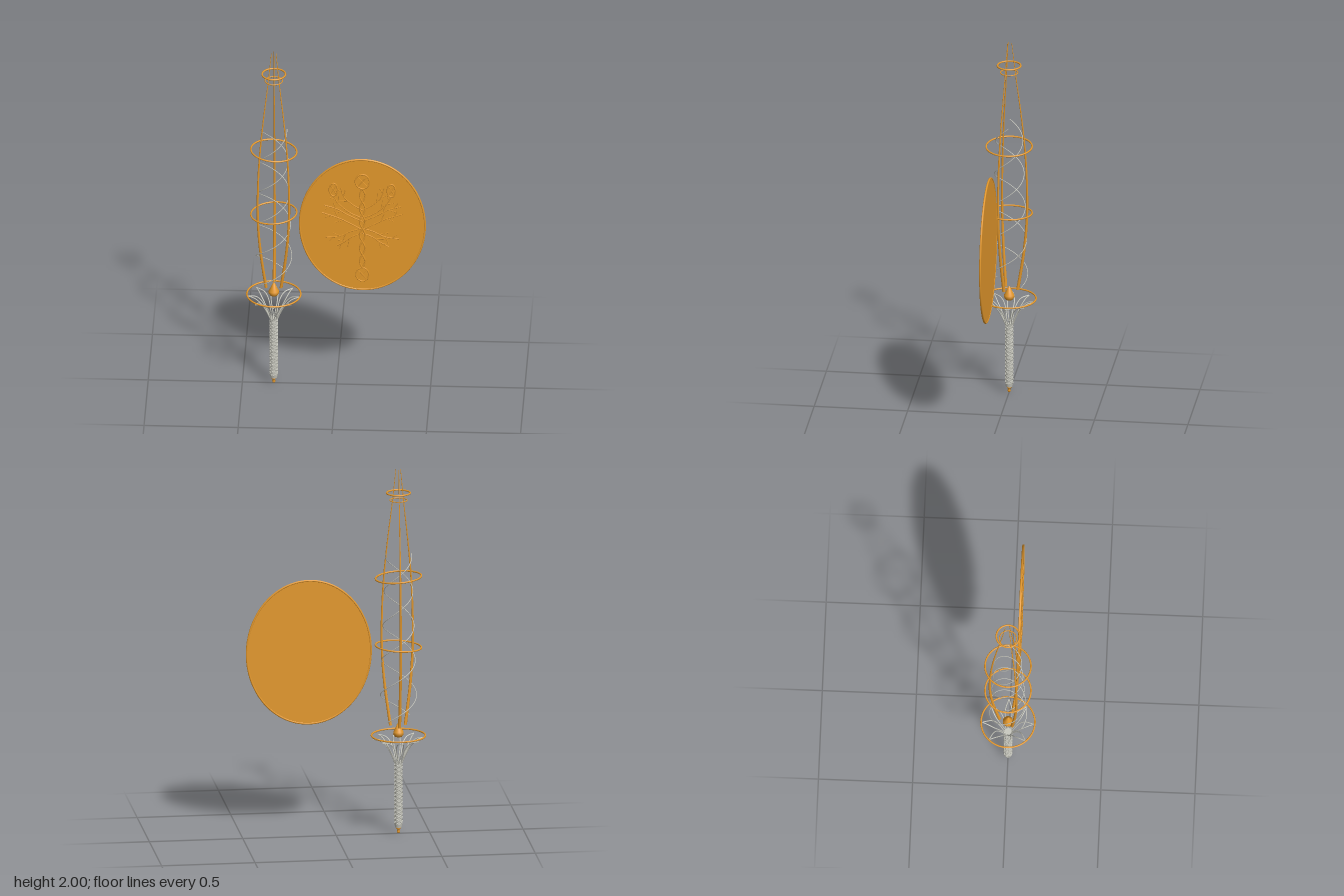
import * as THREE from 'three';

const V = (x, y, z = 0) => new THREE.Vector3(x, y, z);
const mat = (name, color) => {
  const m = new THREE.MeshStandardMaterial({ color });
  m.name = name;
  return m;
};

export function createModel() {
  const gold = mat('gold', 0xe5992c);
  const steel = mat('silver', 0xc8c8be);
  const model = new THREE.Group();
  const wand = new THREE.Group();
  wand.name = 'wand';
  wand.position.x = -0.333;
  model.add(wand);

  const add = (parent, name, geometry, material) => {
    const mesh = new THREE.Mesh(geometry, material);
    mesh.name = name;
    parent.add(mesh);
    return mesh;
  };
  const tube = (parent, name, pts, r, material, closed = false, segs = 32, sides = 6) =>
    add(parent, name, new THREE.TubeGeometry(new THREE.CatmullRomCurve3(pts, closed), segs, r, sides, closed), material);
  const lathe = (parent, name, profile, sides, material) =>
    add(parent, name, new THREE.LatheGeometry(profile.map(p => new THREE.Vector2(...p)), sides), material);
  const helix = (y0, y1, radius, angle, n) => Array.from({ length: n + 1 }, (_, i) => {
    const t = i / n, a = angle(t), r = radius(t);
    return V(r * Math.cos(a), y0 + (y1 - y0) * t, r * Math.sin(a));
  });

  // Pommel and grip
  lathe(wand, 'pommel', [[0, 0], [0.007, 0.004], [0.009, 0.011], [0.005, 0.02], [0.012, 0.026], [0.014, 0.034], [0, 0.036]], 16, gold);
  add(wand, 'gripCollar', new THREE.CylinderGeometry(0.022, 0.018, 0.02, 20), steel).position.y = 0.044;
  add(wand, 'gripCore', new THREE.CylinderGeometry(0.0195, 0.0195, 0.34, 20), steel).position.y = 0.22;

  // Crossing strands woven around the grip
  for (const dir of [1, -1]) {
    for (let k = 0; k < 4; k++) {
      const pts = helix(0.052, 0.392, () => 0.0205, t => dir * t * Math.PI * 8 + k * Math.PI / 2, 64);
      tube(wand, 'gripStrand', pts, 0.0028, steel, false, 100, 5);
    }
  }

  // Guard: eight open petals under a ring
  const spine = new THREE.CatmullRomCurve3([V(0.019, 0.385), V(0.036, 0.43), V(0.062, 0.48), V(0.095, 0.512), V(0.137, 0.522)]);
  for (let k = 0; k < 8; k++) {
    const pts = [];
    for (let i = 0; i < 24; i++) {
      const u = i / 12, t = u <= 1 ? u : 2 - u;
      const p = spine.getPoint(t);
      p.z = (u <= 1 ? 1 : -1) * (0.003 * (1 - t) + 0.017 * Math.pow(Math.sin(Math.PI * Math.pow(t, 1.3)), 1.2));
      pts.push(p);
    }
    tube(wand, 'guardPetal', pts, 0.003, steel, true, 48).rotation.y = k * Math.PI / 4;
  }

  // Hoops: radius, tube, height, tilt
  for (const [r, w, y, tilt, name] of [
    [0.143, 0.0045, 0.538, 0, 'guardRing'], [0.122, 0.0045, 1.028, 0.06, 'lowerHoop'],
    [0.122, 0.0045, 1.407, -0.07, 'upperHoop'], [0.062, 0.0045, 1.87, 0, 'tipHoop'], [0.046, 0.0028, 1.83, 0, 'tipInnerHoop'],
  ]) {
    const hoop = add(wand, name, new THREE.TorusGeometry(r, w, 8, 64).rotateX(Math.PI / 2), gold);
    hoop.position.y = y;
    hoop.rotation.z = tilt;
  }

  // Teardrop at the heart of the guard
  lathe(wand, 'teardrop', [[0, 0.528], [0.019, 0.532], [0.028, 0.545], [0.027, 0.558], [0.016, 0.579], [0.009, 0.597], [0, 0.61]], 24, gold);

  // Three bowed, tapering rods
  const bow = new THREE.SplineCurve([[0.59, 0.046], [0.8, 0.078], [1.0, 0.095], [1.2, 0.095], [1.4, 0.084], [1.6, 0.063], [1.8, 0.037], [2.0, 0.014]]
    .map(p => new THREE.Vector2(...p)));
  for (let k = 0; k < 3; k++) {
    const g = new THREE.CylinderGeometry(0.0014, 0.0085, 1, 8, 32);
    const p = g.attributes.position;
    for (let i = 0; i < p.count; i++) {
      const c = bow.getPoint(p.getY(i) + 0.5);
      p.setY(i, c.x);
      p.setZ(i, p.getZ(i) - c.y);
    }
    g.computeVertexNormals();
    add(wand, 'bowedRod', g, gold).rotation.y = k * Math.PI * 2 / 3;
  }

  // Double spiral of fine wire
  for (const start of [0, Math.PI]) {
    const pts = helix(0.63, 1.535, t => 0.1 - 0.03 * t,
      t => start - Math.PI * 2 * (0.63 + 0.905 * t - 0.77) / 0.38, 72);
    tube(wand, 'spiralWire', pts, 0.0022, steel, false, 200, 5);
  }

  // Oval mirror plate and rim
  const mirror = new THREE.Group();
  mirror.name = 'ovalMirror';
  mirror.position.set(0.14, 0.998, 0.05);
  model.add(mirror);
  add(mirror, 'plate', new THREE.CylinderGeometry(1, 1, 0.006, 96).rotateX(Math.PI / 2), gold).scale.set(0.332, 0.392, 1);
  const oval = (x, y, rx, ry, z) => Array.from({ length: 32 }, (_, i) => {
    const a = i * Math.PI / 16;
    return V(x + rx * Math.cos(a), y + ry * Math.sin(a), z);
  });
  tube(mirror, 'rim', oval(0, 0, 0.332, 0.392, 0), 0.0055, gold, true, 128, 8);

  // Tree relief: braided trunk
  const Z = 0.004;
  for (const s of [1, -1]) {
    const pts = [];
    for (let i = 0; i <= 60; i++) {
      const t = i / 60;
      pts.push(V(s * 0.014 * Math.sin(t * Math.PI * 6), -0.26 + 0.48 * t, Z));
    }
    tube(mirror, 'trunkStrand', pts, 0.0045, gold, false, 90);
  }

  // Looped medallions at root, crown and sides
  const medallion = (x, y, rx, ry) => {
    tube(mirror, 'medallionRing', oval(x, y, rx, ry, Z), 0.004, gold, true, 40);
    for (const s of [1, -1]) {
      tube(mirror, 'medallionCross', [V(x - s * rx * 0.7, y - ry * 0.7, Z), V(x, y, Z), V(x + s * rx * 0.7, y + ry * 0.7, Z)], 0.0025, gold, false, 6);
    }
  };
  medallion(0, -0.3, 0.034, 0.04);
  medallion(0, 0.262, 0.038, 0.043);
  medallion(0.154, 0.21, 0.022, 0.038);
  medallion(-0.154, 0.21, 0.022, 0.038);

  // Limbs with alternating twigs, mirrored
  const limbs = [
    [[0, 0.09], [0.05, 0.12], [0.1, 0.17], [0.115, 0.225]],
    [[0, 0.04], [0.07, 0.075], [0.13, 0.13], [0.152, 0.17]],
    [[0, 0.02], [0.08, 0.06], [0.14, 0.095], [0.205, 0.115]],
    [[0, -0.03], [0.07, 0.01], [0.13, 0.04], [0.215, 0.07]],
    [[0, -0.02], [0.06, -0.04], [0.12, -0.07], [0.195, -0.08]],
    [[0, -0.05], [0.05, -0.07], [0.09, -0.1], [0.14, -0.13]],
  ];
  for (const s of [1, -1]) {
    for (const limb of limbs) {
      const pts = limb.map(([x, y]) => V(s * x, y, Z));
      const curve = new THREE.CatmullRomCurve3(pts);
      tube(mirror, 'limb', pts, 0.003, gold, false, 20);
      [0.5, 0.66, 0.82].forEach((t, i) => {
        const p = curve.getPoint(t), d = curve.getTangent(t);
        d.applyAxisAngle(V(0, 0, 1), (i % 2 ? -1 : 1) * 0.75).multiplyScalar(0.05 - 0.008 * i);
        tube(mirror, 'twig', [p, p.clone().add(d)], 0.0022, gold, false, 4, 5);
      });
    }
  }
  return model;
}
